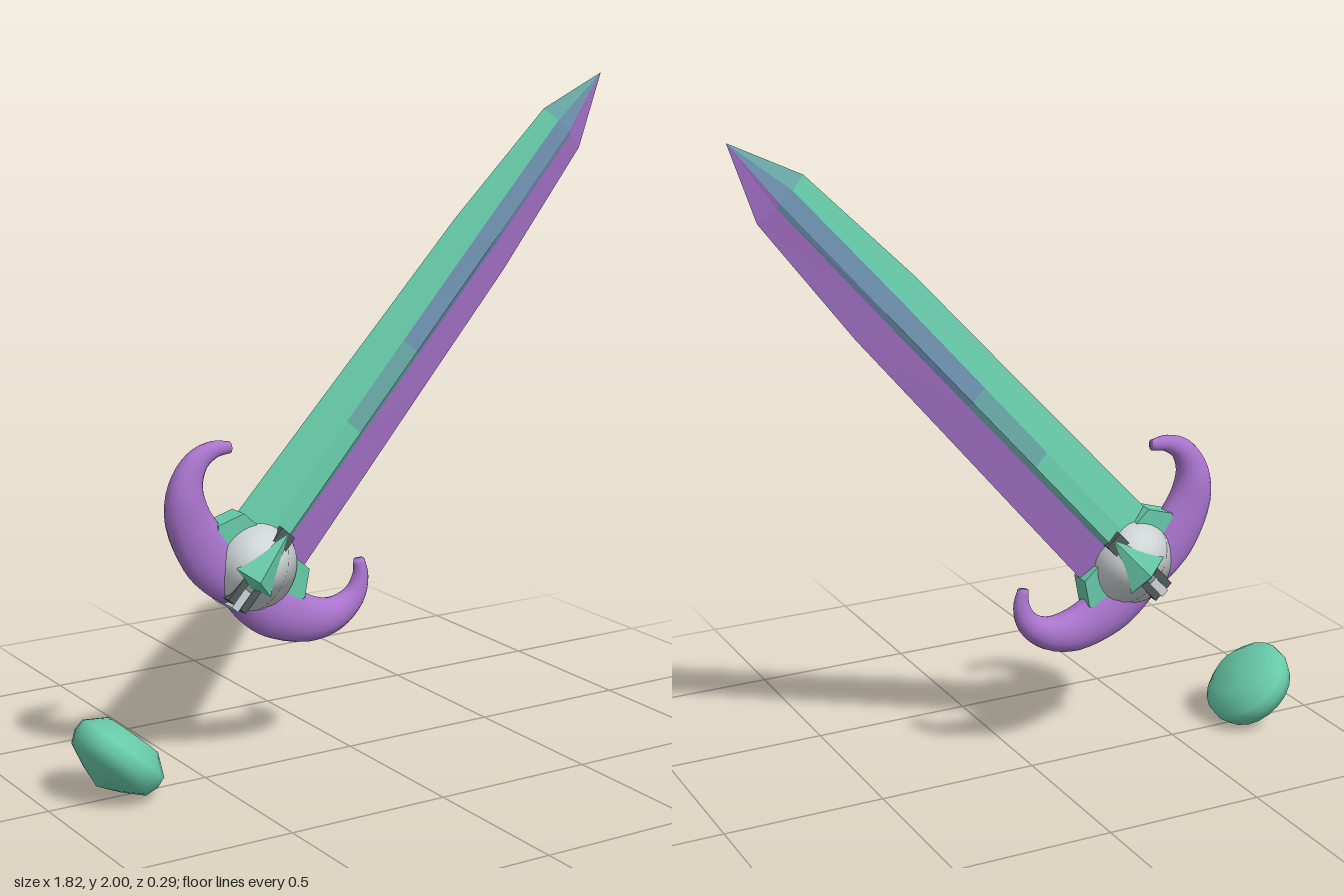
import * as THREE from 'three';

const mat = (name, color) => {
  const m = new THREE.MeshStandardMaterial({ color });
  m.name = name;
  return m;
};

export function createModel() {
  const M = {
    teal: mat('teal', 0x67caa9),
    seaBlue: mat('sea blue', 0x69aaa8),
    slate: mat('slate blue', 0x7093b2),
    purple: mat('purple', 0xa974cd),
    pale: mat('pale grey', 0xced4d6),
    dark: mat('dark grey', 0x50595a),
  };
  const model = new THREE.Group();
  model.name = 'sword';

  // local frame: x runs along the blade, y across it
  const sword = new THREE.Group();
  sword.name = 'swordBody';
  sword.position.set(-0.335, 0.62, 0);
  sword.rotation.z = Math.atan2(0.744, 0.668);
  model.add(sword);

  const add = (name, geo, material, x = 0, y = 0, z = 0) => {
    const mesh = new THREE.Mesh(geo, material);
    mesh.name = name;
    mesh.position.set(x, y, z);
    sword.add(mesh);
    return mesh;
  };
  const flat = (points) => {
    const g = new THREE.BufferGeometry();
    g.setAttribute('position', new THREE.Float32BufferAttribute(points, 3));
    g.computeVertexNormals();
    return g;
  };

  // blade: stations of position, half width, half thickness, ridge scale
  const stations = [
    [0.05, 0.148, 0.048, 1],
    [0.5, 0.138, 0.043, 1],
    [0.8, 0.131, 0.04, 1],
    [1.19, 0.123, 0.036, 1],
    [1.64, 0.092, 0.027, 0.9],
    [1.86, 0, 0, 0],
  ];
  const section = ([u, w, t, s]) => [
    [u, w, 0], [u, 0.042 * s, 0.8 * t], [u, -0.014 * s, t], [u, -0.03 * s, 0.74 * t], [u, -w, 0],
  ];
  const ridge = ['teal', 'seaBlue', 'slate', 'slate', 'slate'];
  const line = ['seaBlue', 'seaBlue', 'slate', 'slate', 'purple'];
  const faces = { teal: [], seaBlue: [], slate: [], purple: [] };
  for (let i = 0; i < stations.length - 1; i++) {
    const p = section(stations[i]), q = section(stations[i + 1]);
    const upper = i === 4 ? 'seaBlue' : 'teal';
    [upper, ridge[i], line[i], 'purple'].forEach((key, j) => {
      const tris = [[p[j], p[j + 1], q[j + 1]]];
      if (i < 4) tris.push([p[j], q[j + 1], q[j]]);
      for (const [a, b, c] of tris) {
        faces[key].push(...a, ...b, ...c);
        for (const k of [a, c, b]) faces[key].push(k[0], k[1], -k[2]);
      }
    });
  }
  for (const key in faces) add(key + 'BladeFaces', flat(faces[key]), M[key]);

  // collar holding the blade
  const outline = [[-0.1, 0.1], [0.02, 0.192], [0.095, 0.147], [0.095, -0.147], [0.02, -0.192], [-0.1, -0.1]];
  const collar = new THREE.Shape(outline.map(([x, y]) => new THREE.Vector2(x, y)));
  add('collar', new THREE.ExtrudeGeometry(collar, { depth: 0.07, bevelEnabled: false }), M.teal, 0, 0, -0.035);

  // horns: tapered, flattened sweep along a planar curve
  const path = [[-0.085, 0.0, 0.055], [-0.075, 0.07, 0.075], [-0.058, 0.155, 0.083], [-0.014, 0.27, 0.07],
    [0.05, 0.334, 0.052], [0.125, 0.354, 0.037], [0.184, 0.333, 0.026], [0.221, 0.293, 0.017]];
  const spine = new THREE.CatmullRomCurve3(path.map(([x, y]) => new THREE.Vector3(x, y, 0)));
  const girth = new THREE.CatmullRomCurve3(path.map((p, i) => new THREE.Vector3(i, p[2], 0)));
  const horn = (side) => {
    const rings = 28, sides = 16, pos = [], idx = [];
    for (let i = 0; i <= rings; i++) {
      const c = spine.getPoint(i / rings), d = spine.getTangent(i / rings);
      const r = girth.getPoint(i / rings).y;
      for (let j = 0; j < sides; j++) {
        const a = (j / sides) * Math.PI * 2, n = r * Math.cos(a);
        pos.push(c.x - d.y * n, (c.y + d.x * n) * side, Math.min(r * 0.85, 0.05) * Math.sin(a));
      }
    }
    const tri = (a, b, c) => (side > 0 ? idx.push(a, b, c) : idx.push(a, c, b));
    for (let i = 0; i < rings; i++) {
      for (let j = 0; j < sides; j++) {
        const a = i * sides + j, b = i * sides + ((j + 1) % sides);
        tri(a, b, b + sides);
        tri(a, b + sides, a + sides);
      }
    }
    for (const [row, flip] of [[0, true], [rings, false]]) {
      for (let j = 1; j < sides - 1; j++) {
        const o = row * sides;
        if (flip) tri(o, o + j + 1, o + j);
        else tri(o, o + j, o + j + 1);
      }
    }
    const g = new THREE.BufferGeometry();
    g.setAttribute('position', new THREE.Float32BufferAttribute(pos, 3));
    g.setIndex(idx);
    g.computeVertexNormals();
    return g;
  };
  add('leftHorn', horn(-1), M.purple);
  add('rightHorn', horn(1), M.purple);

  // guard disc: a sphere pressed into a thick disc, with normals leaning outward
  const disc = new THREE.SphereGeometry(1, 32, 24).rotateX(Math.PI / 2);
  const dp = disc.attributes.position;
  for (let i = 0; i < dp.count; i++) {
    const x = dp.getX(i), y = dp.getY(i), z = dp.getZ(i), r = Math.hypot(x, y);
    const k = r > 1e-6 ? (0.132 * Math.pow(r, 0.6)) / r : 0;
    const n = new THREE.Vector3(x, y, z * 0.35).normalize();
    dp.setXYZ(i, x * k, y * k, 0.063 * Math.sign(z) * Math.pow(Math.abs(z), 0.4));
    disc.attributes.normal.setXYZ(i, n.x, n.y, n.z);
  }
  add('guardDisc', disc, M.pale);

  // bands across the disc
  add('paleBand', new THREE.BoxGeometry(0.1, 0.026, 0.122), M.pale, -0.09, 0);
  for (const s of [1, -1]) add('darkBand', new THREE.BoxGeometry(0.09, 0.024, 0.126), M.dark, -0.085, 0.025 * s);
  add('tipBand', new THREE.BoxGeometry(0.075, 0.056, 0.118), M.dark, 0.095, 0);

  // pointed gems on both faces
  const kite = [[0.128, 0], [-0.045, 0.075], [-0.065, 0], [-0.045, -0.075]];
  for (const s of [1, -1]) {
    const pts = [];
    kite.forEach(([x, y], i) => {
      const n = kite[(i + 1) % 4];
      const a = [x, y, 0.06 * s], b = [n[0], n[1], 0.06 * s], apex = [-0.038, 0, 0.092 * s];
      pts.push(...(s > 0 ? [...a, ...b] : [...b, ...a]), ...apex);
    });
    add(s > 0 ? 'frontGem' : 'backGem', flat(pts), M.teal);
  }

  // separate pommel below the guard
  const pommel = [[0, -0.1], [0.065, -0.075], [0.13, -0.042], [0.145, -0.005], [0.143, 0.03], [0.088, 0.077], [0, 0.079]];
  add('pommel', new THREE.LatheGeometry(pommel.map(([r, h]) => new THREE.Vector2(r, h)), 20), M.teal, -0.671, 0)
    .rotation.z = -Math.PI / 2;

  return model;
}
